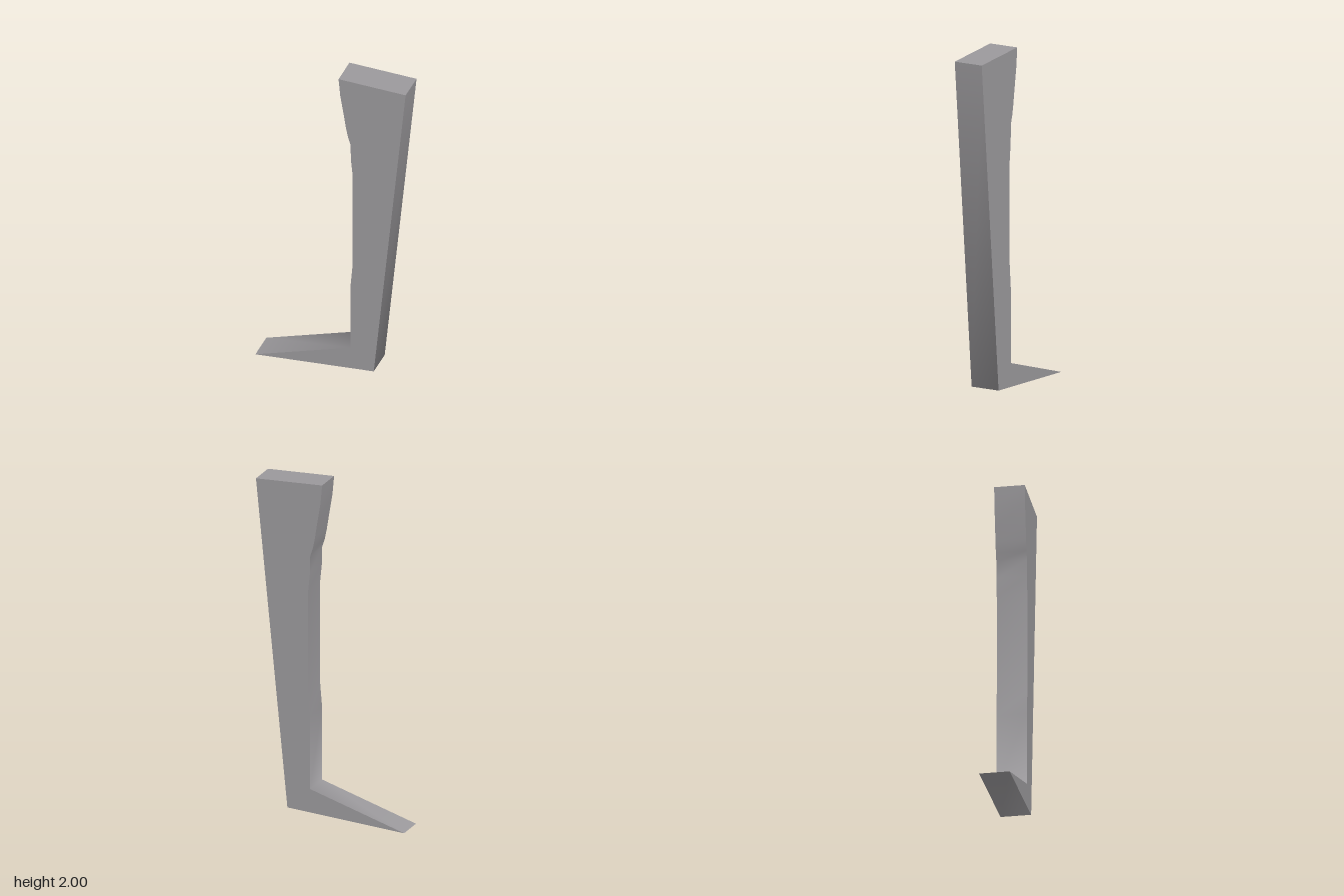
import * as THREE from 'three';
import { toCreasedNormals } from 'three/addons/utils/BufferGeometryUtils.js';

const THICKNESS = 0.174;
const YAW = THREE.MathUtils.degToRad(23.35);

export function createModel() {
  const group = new THREE.Group();
  group.name = 'bracketLeg';

  const grey = new THREE.MeshStandardMaterial({ color: 0x9a989b });
  grey.name = 'warm grey';

  // Side profile of the leg: toe, sole, heel, straight back, top, gently waved shin
  const profile = new THREE.Shape([
    [-0.45, 0], [0.259, 0.057], [0.45, 1.988], [0.048, 2],
    [0.058, 1.89], [0.078, 1.77], [0.092, 1.68], [0.104, 1.62], [0.12, 1.57],
    [0.122, 1.47], [0.133, 1.36], [0.133, 0.76], [0.121, 0.62], [0.121, 0.185],
  ].map(([x, y]) => new THREE.Vector2(x, y)));

  const slab = new THREE.ExtrudeGeometry(profile, { depth: THICKNESS, bevelEnabled: false });
  slab.translate(0, 0, -THICKNESS / 2);

  // Ankle and heel shade smoothly, the slab's edges and top stay sharp
  const leg = new THREE.Mesh(toCreasedNormals(slab, 1.45), grey);
  leg.name = 'leg';
  leg.rotation.y = YAW;
  group.add(leg);

  return group;
}
